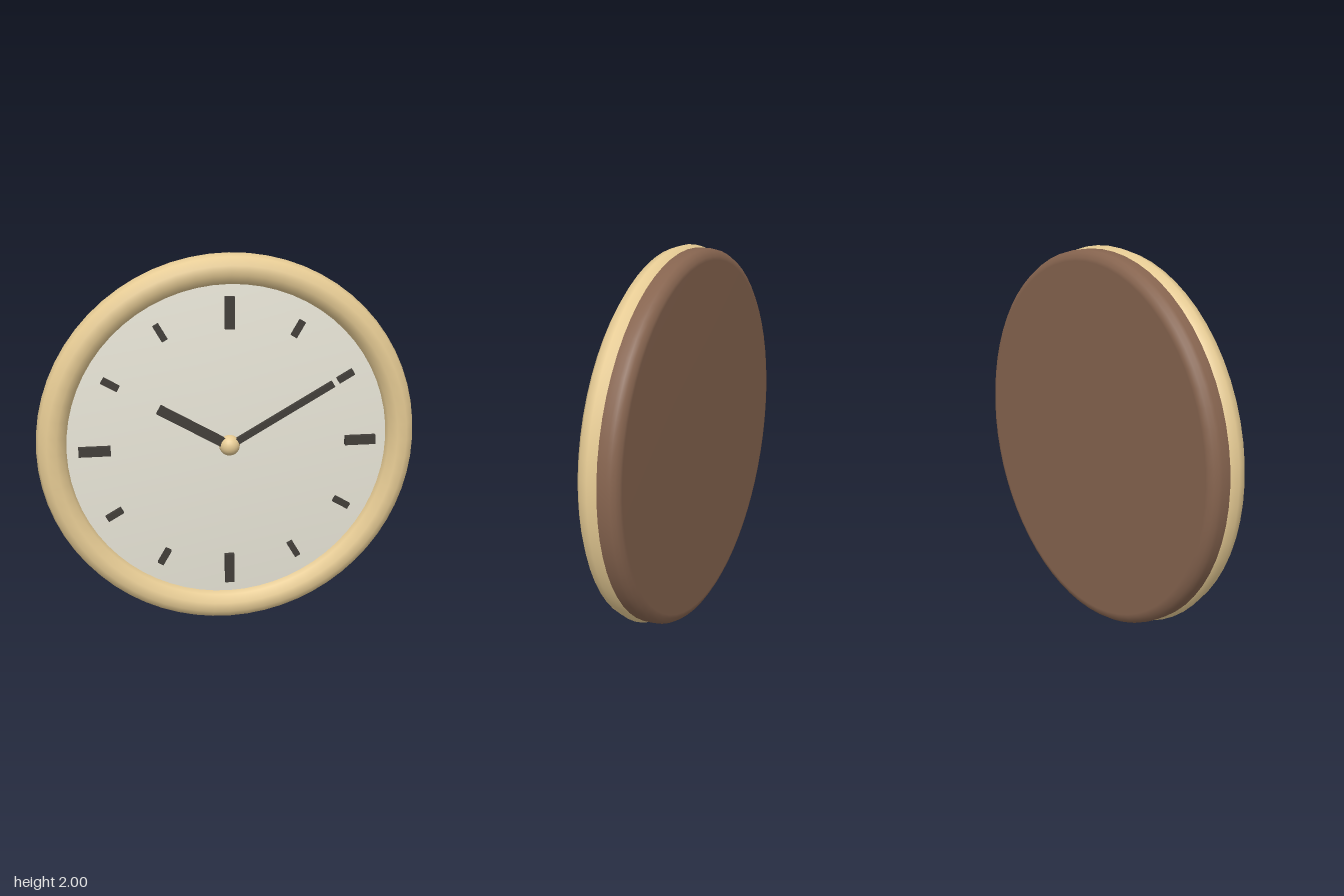
import * as THREE from 'three';

const material = (color) => new THREE.MeshStandardMaterial({ color });
const gold = material(0xe6cb94);
const wood = material(0x86644f);
const ivory = material(0xe9e6d8);
const dark = material(0x423e39);

// Turned part whose axis runs front to back; points are [radius, z]
function turned(points, segments) {
  const profile = points.map(([r, z]) => new THREE.Vector2(r, z));
  return new THREE.LatheGeometry(profile, segments).rotateX(Math.PI / 2);
}

export function createModel() {
  const clock = new THREE.Group();
  clock.name = 'wallClock';

  const add = (name, geometry, mat, z = 0) => {
    const mesh = new THREE.Mesh(geometry, mat);
    mesh.name = name;
    mesh.position.set(0, 1, z);
    clock.add(mesh);
    return mesh;
  };

  // Flat bar lying along a clock direction, from one radius to another
  const bar = (name, hour, from, to, width, depth, z) => {
    const geometry = new THREE.BoxGeometry(width, to - from, depth);
    geometry.translate(0, (from + to) / 2, 0);
    add(name, geometry, dark, z).rotation.z = -hour * Math.PI / 6;
  };

  // Case with a rounded rear edge
  add('backCase', turned([
    [0, -0.11], [0.93, -0.11], [0.948, -0.108], [0.97, -0.095],
    [0.983, -0.075], [0.986, -0.055], [0.986, 0], [0.975, 0.015], [0.9, 0.015],
  ], 64), wood);

  // Dial with softened rim shading
  add('dial', turned([[0.86, -0.02], [0.86, 0.05], [0, 0.05]], 64), ivory);

  // Rim
  add('rim', new THREE.TorusGeometry(0.92, 0.08, 10, 64), gold, 0.034);

  // Hour markers, longer at the quarters
  for (let hour = 0; hour < 12; hour++) {
    if (hour % 3 === 0) bar('quarterMarker', hour, 0.62, 0.785, 0.05, 0.04, 0.055);
    else bar('hourMarker', hour, 0.66, 0.752, 0.033, 0.04, 0.055);
  }

  // Hands and centre cap
  bar('hourHand', 10, 0, 0.425, 0.05, 0.025, 0.065);
  bar('minuteHand', 2, 0, 0.63, 0.033, 0.025, 0.067);
  add('centreCap', new THREE.SphereGeometry(0.055, 20, 14), gold, 0.055);

  return clock;
}
